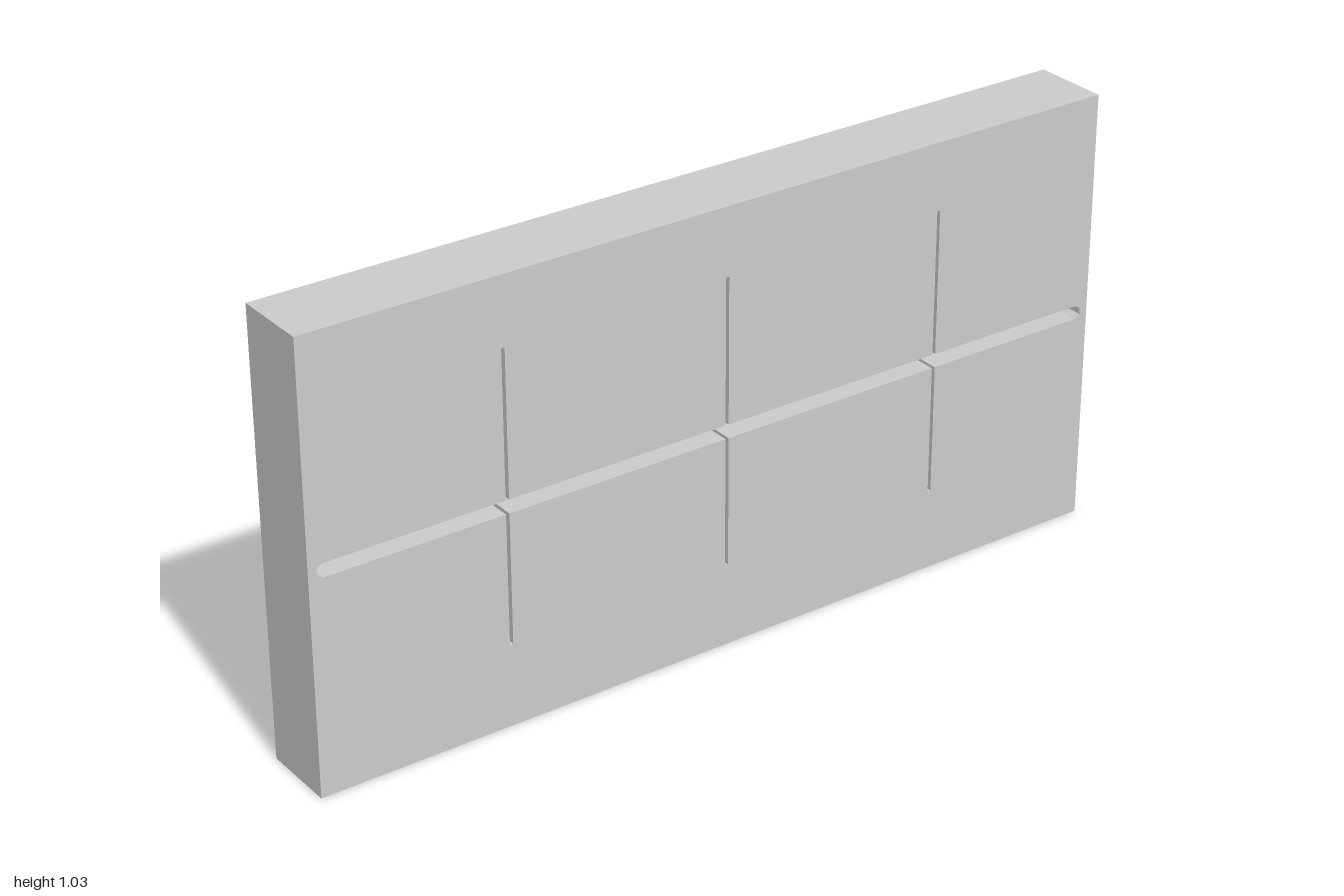
import * as THREE from 'three';

const HEIGHT = 1.03, DEPTH = 0.18;
const SLOT_LOW = 0.5, SLOT_HIGH = 0.532;   // horizontal slot
const CUT_LOW = 0.195, CUT_HIGH = 0.872;   // thin vertical cuts
const CUT_X = [-0.54, 0.005, 0.56], CUT_HALF = 0.004;

export function createModel() {
  const group = new THREE.Group();
  group.name = 'slottedPanel';

  // Rectangular slab outline
  const outline = new THREE.Shape([
    new THREE.Vector2(-1, 0), new THREE.Vector2(1, 0),
    new THREE.Vector2(1, HEIGHT), new THREE.Vector2(-1, HEIGHT),
  ]);

  // One hole: long slot with tapered ends, crossed by the vertical cuts
  const points = [];
  const add = (x, y) => points.push(new THREE.Vector2(x, y));
  const addCut = (x, side, edge, end) => {
    add(x - side * CUT_HALF, edge);
    add(x - side * CUT_HALF, end);
    add(x + side * CUT_HALF, end);
    add(x + side * CUT_HALF, edge);
  };
  const addEnd = (side) => {
    const rows = [[0.968, SLOT_LOW], [0.98, 0.509], [0.98, 0.523], [0.968, SLOT_HIGH]];
    if (side < 0) rows.reverse();
    rows.forEach(([x, y]) => add(side * x, y));
  };
  CUT_X.forEach((x) => addCut(x, 1, SLOT_LOW, CUT_LOW));
  addEnd(1);
  [...CUT_X].reverse().forEach((x) => addCut(x, -1, SLOT_HIGH, CUT_HIGH));
  addEnd(-1);
  outline.holes.push(new THREE.Path(points));

  // Slab with the slots cut right through
  const geometry = new THREE.ExtrudeGeometry(outline, { depth: DEPTH, bevelEnabled: false });
  geometry.translate(0, 0, -DEPTH / 2);
  const panel = new THREE.Mesh(
    geometry,
    new THREE.MeshStandardMaterial({ color: 0xcccccc, flatShading: true }),
  );
  panel.name = 'panel';
  group.add(panel);
  return group;
}
